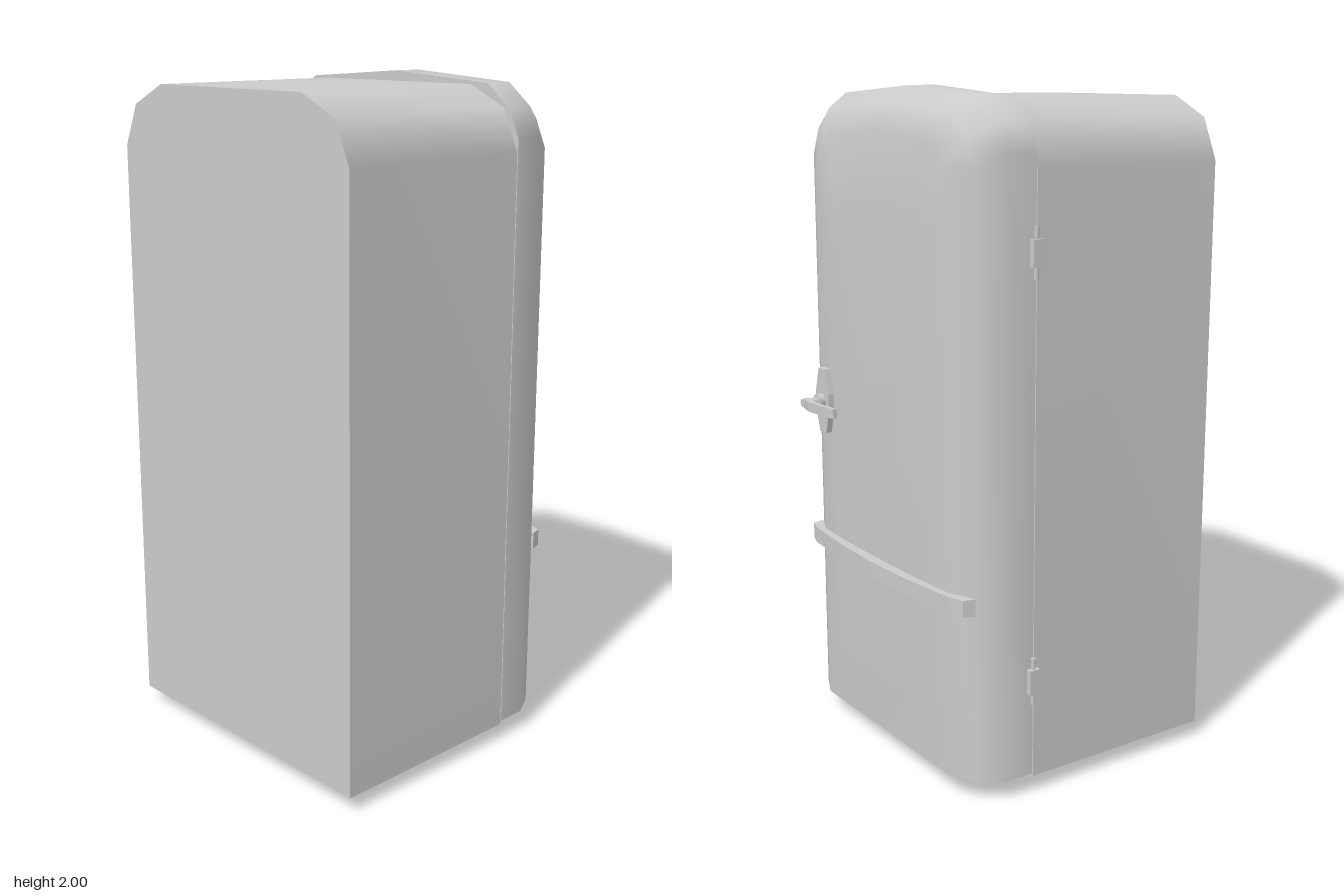
import * as THREE from 'three';

const grey = new THREE.MeshStandardMaterial({ color: 0xcccccc, side: THREE.DoubleSide });
const faceted = new THREE.MeshStandardMaterial({ color: 0xcccccc, side: THREE.DoubleSide, flatShading: true });
const CX = 0.0075;   // middle of cabinet and door
const HW = 0.4775;   // half width

function add(parent, name, geometry, material, x = 0, y = 0, z = 0) {
  const mesh = new THREE.Mesh(geometry, material);
  mesh.name = name;
  mesh.position.set(x, y, z);
  parent.add(mesh);
  return mesh;
}

// Outline from the bottom +x corner over the top to the bottom -x corner
function mirrored(half, top) {
  const left = half.slice().reverse().map(([x, y]) => [-x, y]);
  return [...half, [0, top], ...left];
}

// Skin over rings of equal length; rings from closeFrom on are closed loops
function loft(rings, closeFrom = Infinity) {
  const n = rings[0].length;
  const index = [];
  for (let i = 0; i < rings.length - 1; i++) {
    const last = i >= closeFrom ? n : n - 1;
    for (let j = 0; j < last; j++) {
      const a = i * n + j, b = i * n + (j + 1) % n, c = a + n, d = b + n;
      index.push(a, c, b);
      if (i < rings.length - 2 || closeFrom === Infinity) index.push(b, c, d);
    }
  }
  const geometry = new THREE.BufferGeometry();
  geometry.setAttribute('position', new THREE.Float32BufferAttribute(rings.flat(2), 3));
  geometry.setIndex(index);
  geometry.computeVertexNormals();
  return geometry;
}

function flat(points) {
  return new THREE.ShapeGeometry(new THREE.Shape(points.map(([x, y]) => new THREE.Vector2(x, y))));
}

function extrude(points, depth) {
  const shape = new THREE.Shape(points.map(([x, y]) => new THREE.Vector2(x, y)));
  return new THREE.ExtrudeGeometry(shape, { depth, bevelEnabled: false });
}

function makeCabinet(root) {
  const group = new THREE.Group();
  group.name = 'cabinet';
  root.add(group);
  const outline = mirrored([[HW, 0.05], [HW, 1.79], [0.425, 1.91], [0.30, 1.97]], 1.97);
  const rings = [0.47, -0.165].map(z => outline.map(([x, y]) => [x, y, z]));
  add(group, 'cabinetShell', loft(rings), grey, CX);
  add(group, 'cabinetBack', flat(outline), grey, CX, 0, 0.47);
  add(group, 'cabinetFront', flat(outline), grey, CX, 0, -0.165).material = grey;
}

function makeDoor(root) {
  const group = new THREE.Group();
  group.name = 'door';
  root.add(group);
  const base = 0.06, height = 1.94;
  const outline = mirrored([[HW, base], [HW, 1.0], [HW, 1.83], [0.44, 1.91], [0.36, 1.975]], 2.0);
  const inset = d => outline.map(([x, y]) =>
    [x * (HW - d) / HW, base + (y - base) * (height - d) / height]);
  // Rounded edge, inset at top and sides but not at the bottom
  const rings = [[-0.168, 0], [-0.26, 0], [-0.335, 0.042], [-0.372, 0.122]]
    .map(([z, d]) => inset(d).map(([x, y]) => [x, y, z]));
  // Slightly domed front panel closing on its middle
  const rim = rings[3], midY = 0.95;
  for (const s of [0.75, 0.5, 0.25, 0]) {
    rings.push(rim.map(([x, y, z]) => [x * s, midY + (y - midY) * s, z - 0.013 * (1 - s * s)]));
  }
  add(group, 'doorShell', loft(rings, 3), grey, CX);
  add(group, 'doorBack', flat(outline), grey, CX, 0, -0.168);
}

function makeTrim(root) {
  // Bowed band across the door, drawn in plan as (x, -z)
  const half = [[0.44, 0.34], [0.43, 0.375], [0.385, 0.391], [0.2, 0.409]];
  const band = extrude(mirrored(half, 0.418), 0.05);
  band.rotateX(-Math.PI / 2);
  add(root, 'trimBand', band, faceted, CX, 0.57);
}

function makeHandle(root) {
  const group = new THREE.Group();
  group.name = 'handle';
  group.position.set(0.32, 1.05, 0);
  root.add(group);
  const plate = [[0.02, -0.1], [0.04, -0.025], [0.04, 0.025], [0.02, 0.1],
    [-0.02, 0.1], [-0.04, 0.025], [-0.04, -0.025], [-0.02, -0.1]];
  add(group, 'handlePlate', extrude(plate, 0.022), faceted, 0, 0, -0.395);
  const collar = new THREE.CylinderGeometry(0.022, 0.022, 0.022, 12).rotateX(Math.PI / 2);
  add(group, 'handleCollar', collar, grey, 0, 0, -0.404);
  const stem = new THREE.CylinderGeometry(0.013, 0.013, 0.055, 12).rotateX(Math.PI / 2);
  add(group, 'handleStem', stem, grey, 0, 0, -0.4365);
  // Curved lever, drawn in plan as (x, -z)
  const lever = extrude([[0, 0.443], [0, 0.46], [-0.05, 0.472], [-0.14, 0.466],
    [-0.182, 0.458], [-0.182, 0.446], [-0.12, 0.452], [-0.05, 0.452]], 0.03);
  lever.rotateX(-Math.PI / 2);
  add(group, 'handleLever', lever, faceted, 0, -0.015);
}

function makeHinge(root, y) {
  const group = new THREE.Group();
  group.name = 'hinge';
  group.position.set(-0.47, y, -0.172);
  root.add(group);
  add(group, 'hingePin', new THREE.CylinderGeometry(0.007, 0.007, 0.14, 8), grey, -0.006);
  add(group, 'hingeKnuckle', new THREE.BoxGeometry(0.034, 0.075, 0.034), faceted);
}

export function createModel() {
  const root = new THREE.Group();
  root.name = 'refrigerator';
  makeCabinet(root);
  makeDoor(root);
  makeTrim(root);
  makeHandle(root);
  for (const y of [0.35, 1.57]) makeHinge(root, y);
  for (const x of [-0.343, 0.353]) {
    for (const z of [0.338, -0.038]) {
      add(root, 'foot', new THREE.BoxGeometry(0.075, 0.05, 0.075), faceted, x, 0.025, z);
    }
  }
  return root;
}
